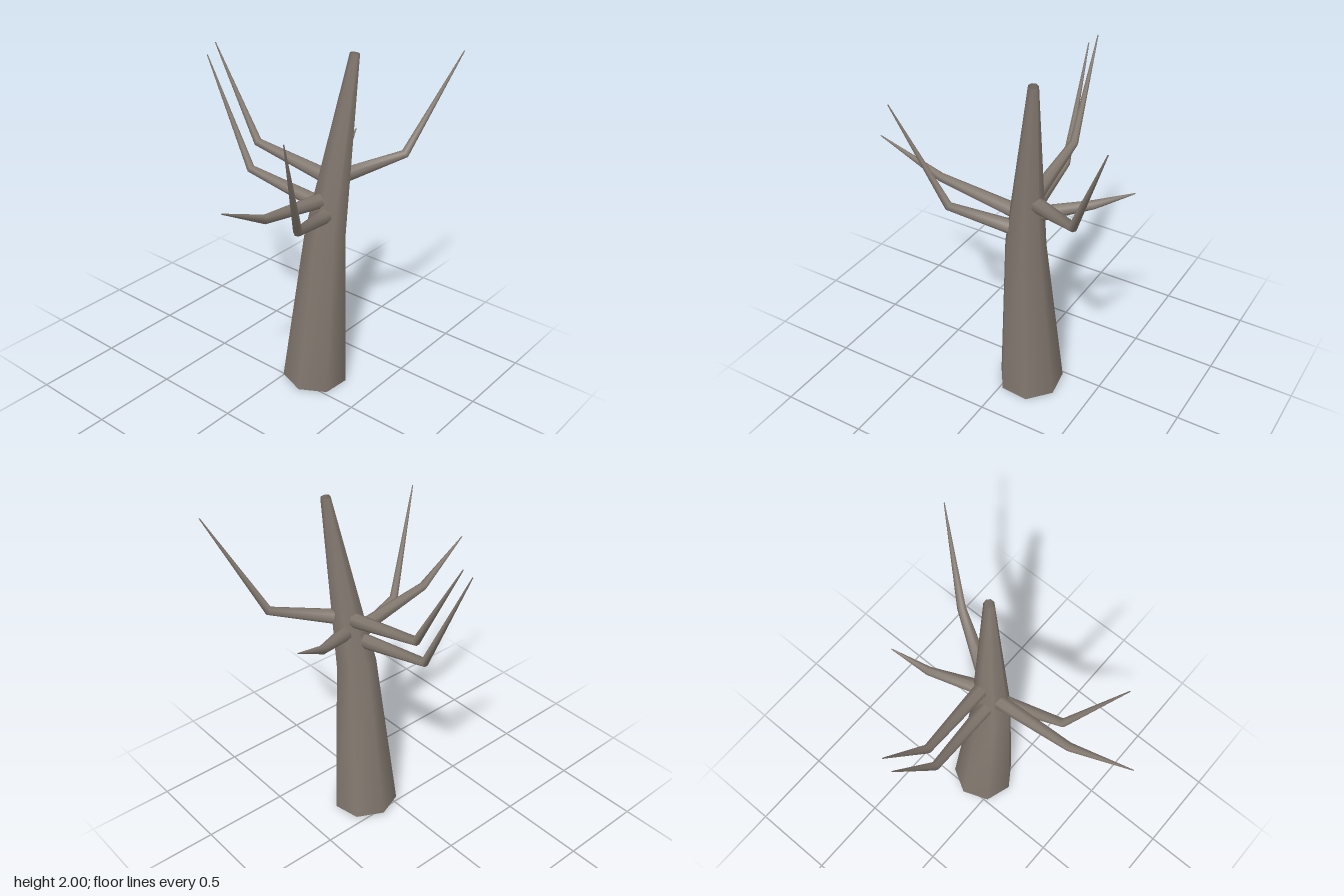
import * as THREE from 'three';

const SIDES = 7;
const V = (p) => new THREE.Vector3(p[0], p[1], p[2]);

// Smooth tapered tube through [x, y, z, radius] stations, open at both ends.
function taperedLimb(stations, ref, phase) {
  const pts = stations.map(V);
  const pos = [], index = [];
  pts.forEach((p, k) => {
    // ring plane bisects the bend at each inner station
    const t = new THREE.Vector3();
    if (k > 0) t.add(p.clone().sub(pts[k - 1]).normalize());
    if (k < pts.length - 1) t.add(pts[k + 1].clone().sub(p).normalize());
    t.normalize();
    const u = ref.clone().addScaledVector(t, -ref.dot(t)).normalize();
    const v = u.clone().cross(t);
    const r = stations[k][3];
    for (let i = 0; i < SIDES; i++) {
      const a = phase + (i / SIDES) * Math.PI * 2;
      const q = p.clone().addScaledVector(u, r * Math.cos(a)).addScaledVector(v, r * Math.sin(a));
      pos.push(q.x, q.y, q.z);
      if (k < pts.length - 1) {
        const a0 = k * SIDES + i, b0 = k * SIDES + ((i + 1) % SIDES);
        index.push(a0, a0 + SIDES, b0, b0, a0 + SIDES, b0 + SIDES);
      }
    }
  });
  const g = new THREE.BufferGeometry();
  g.setAttribute('position', new THREE.Float32BufferAttribute(pos, 3));
  g.setIndex(index);
  g.computeVertexNormals();
  return g;
}

export function createModel() {
  const tree = new THREE.Group();
  tree.name = 'bareTree';
  const bark = new THREE.MeshStandardMaterial({ color: 0x82786f, side: THREE.DoubleSide });
  bark.name = 'bark';

  const add = (name, geometry) => {
    const m = new THREE.Mesh(geometry, bark);
    m.name = name;
    tree.add(m);
  };

  // Leaning trunk, open underneath
  add('trunk', taperedLimb([
    [0.14, 0.011, -0.115, 0.19],
    [0.2, 1.0, -0.112, 0.115],
    [0.287, 2.0, -0.21, 0.027],
  ], new THREE.Vector3(1, 0, 0), Math.PI / 6));

  // Bare branches: root, elbow, tip
  const branches = {
    upperRightBranch: [[0.15, 1.305, -0.15], [-0.305, 1.385, -0.122], [-0.592, 1.91, -0.1]],
    lowerRightBranch: [[0.13, 1.16, -0.1], [-0.315, 1.235, -0.07], [-0.6, 1.85, -0.042]],
    backLeftBranch: [[0.25, 1.315, -0.22], [0.425, 1.388, -0.515], [0.597, 1.945, -0.762]],
    backBranch: [[0.18, 1.225, -0.2], [0.06, 1.29, -0.44], [-0.002, 1.388, -0.64]],
    frontBranch: [[0.2, 1.2, -0.055], [0.215, 1.272, 0.41], [0.264, 1.452, 0.762]],
    frontLeftBranch: [[0.24, 1.122, -0.05], [0.33, 1.19, 0.285], [0.453, 1.78, 0.538]],
  };
  const radii = [0.042, 0.025, 0.003];
  for (const [name, pts] of Object.entries(branches)) {
    const dir = V(pts[2]).sub(V(pts[0]));
    const side = new THREE.Vector3(-dir.z, 0, dir.x).normalize();
    add(name, taperedLimb(pts.map((p, k) => [...p, radii[k]]), side, Math.PI / 2));
  }
  return tree;
}
